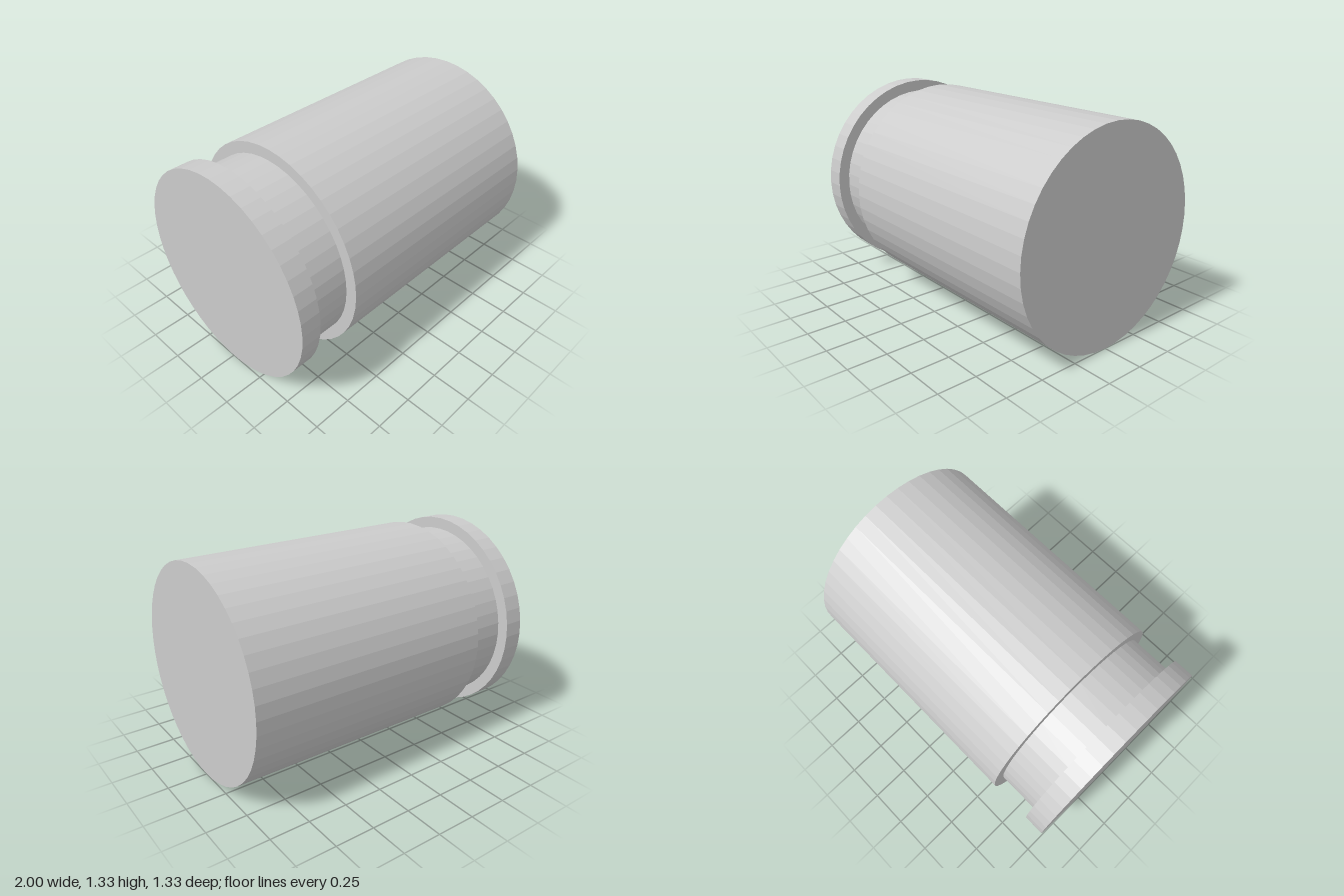
import * as THREE from 'three';

const RADIUS = 0.667;
const SIDES = 48;

export function createModel() {
  const group = new THREE.Group();
  group.name = 'groovedCylinder';
  const material = new THREE.MeshStandardMaterial({ color: 0xcccccc, flatShading: true });

  // Cylinder lying along x between two positions
  function addSection(name, x0, x1, radius, open = false) {
    const geometry = new THREE.CylinderGeometry(radius, radius, x1 - x0, SIDES, 1, open);
    geometry.rotateZ(-Math.PI / 2);
    const mesh = new THREE.Mesh(geometry, material);
    mesh.name = name;
    mesh.position.set((x0 + x1) / 2, RADIUS, 0);
    group.add(mesh);
  }

  addSection('endFlange', -1, -0.87, RADIUS);
  // The neck's ends are closed by the flange and the body
  addSection('grooveNeck', -0.87, -0.6, 0.594, true);
  addSection('mainBody', -0.6, 1, RADIUS);

  return group;
}
